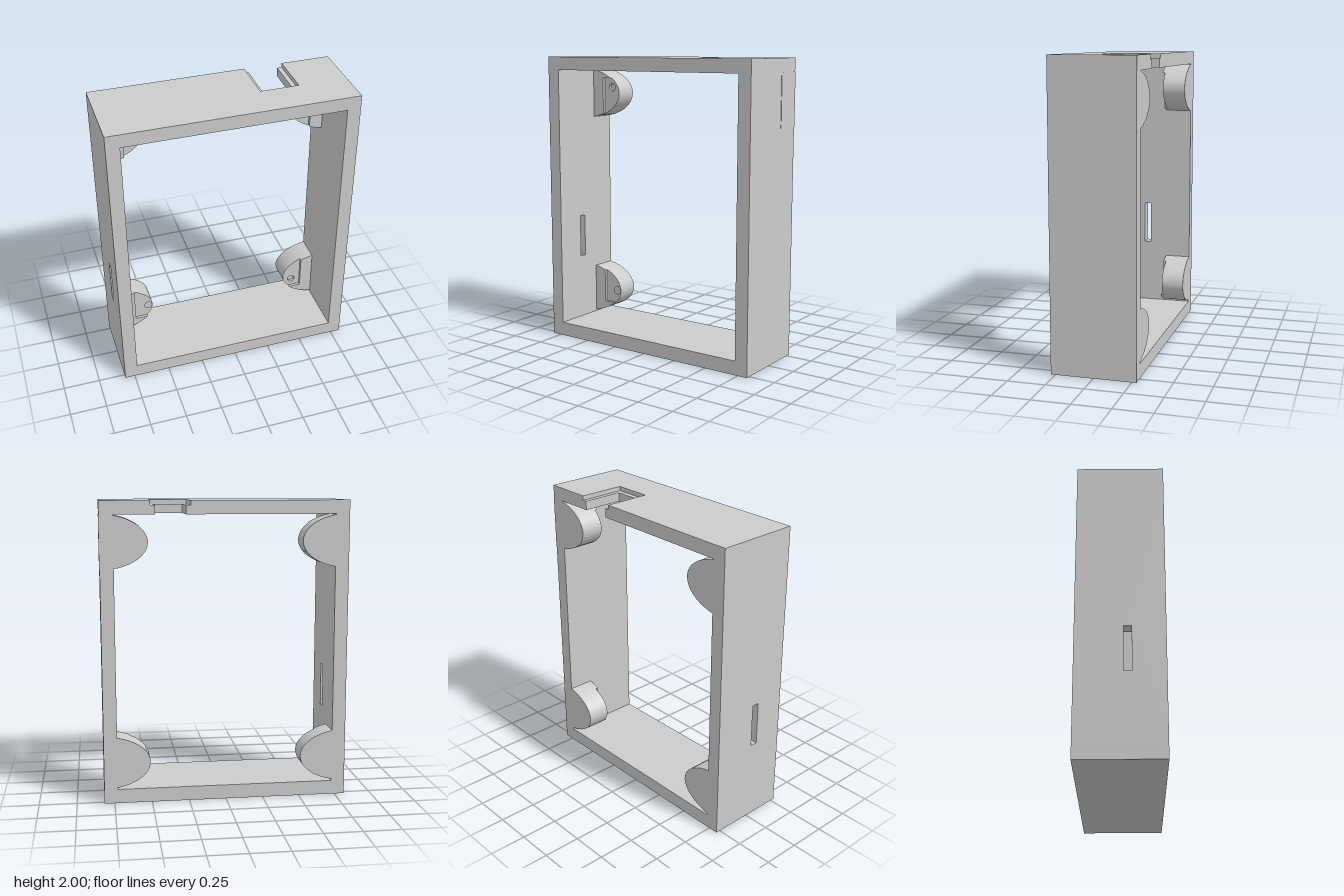
import * as THREE from 'three';
import { toCreasedNormals } from 'three/addons/utils/BufferGeometryUtils.js';

const W = 0.818, IN = 0.728, D = 0.28;      // outer / inner half width, half depth
const BOTTOM = 0.095, TOP = 1.91, H = 2;    // inner opening heights

export function createModel() {
  const model = new THREE.Group();
  const material = new THREE.MeshStandardMaterial({ color: 0xcccccc });

  const add = (name, geometry, parent = model) => {
    const mesh = new THREE.Mesh(geometry, material);
    mesh.name = name;
    parent.add(mesh);
    return mesh;
  };
  const box = (name, x0, x1, y0, y1, z0, z1) => {
    const g = new THREE.BoxGeometry(x1 - x0, y1 - y0, z1 - z0);
    g.translate((x0 + x1) / 2, (y0 + y1) / 2, (z0 + z1) / 2);
    return add(name, g);
  };
  const toShape = (pts) => new THREE.Shape(pts.map(([x, y]) => new THREE.Vector2(x, y)));
  const slab = (shape, z0, z1) => {
    const g = new THREE.ExtrudeGeometry(shape, { depth: z1 - z0, bevelEnabled: false, curveSegments: 24 });
    g.translate(0, 0, z0);
    return toCreasedNormals(g, 0.5);
  };

  // Plain walls
  box('bottomWall', -W, W, 0, BOTTOM, -D, D);
  box('leftWall', IN, W, BOTTOM, TOP, -D, D);

  // Right wall with a narrow upright slot through it
  const side = toShape([[-D, BOTTOM], [D, BOTTOM], [D, TOP], [-D, TOP]]);
  side.holes.push(new THREE.Path([[0.02, 0.55], [0.07, 0.55], [0.07, 0.85], [0.02, 0.85]]
    .map(([z, y]) => new THREE.Vector2(-z, y))));
  const rightWall = slab(side, -W, -IN);
  rightWall.rotateY(Math.PI / 2);
  add('rightWall', rightWall);

  // Top wall: two layers, the upper one with a wider notch so that a ledge remains
  const topLayer = (name, x0, x1, zEnd, y0, y1) => {
    const shape = toShape([[-W, -D], [W, -D], [W, D], [x1, D], [x1, -zEnd], [x0, -zEnd], [x0, D], [-W, D]]);
    const g = slab(shape, y0, y1);
    g.rotateX(-Math.PI / 2);
    add(name, g);
  };
  topLayer('topWallLower', 0.26, 0.46, 0, TOP, 1.97);
  topLayer('topWallUpper', 0.23, 0.49, 0.035, 1.97, H);

  // Corner mounting lugs: half ellipses centred on the outer wall face
  const A = 0.31, B = 0.178;
  const lug = (name, sx, sy, cy, cornerV, holeX, holeY) => {
    const group = new THREE.Group();
    group.name = name;
    model.add(group);
    const place = (u, v) => [sx * (W - u), cy + sy * v];
    const arc = (t0, t1, n) => Array.from({ length: n + 1 }, (_, i) => {
      const t = t0 + (t1 - t0) * i / n;
      return place(A * Math.cos(t), B * Math.sin(t));
    });
    const tWall = Math.acos((W - IN) / A);
    const cornerU = 0.178;
    const outline = arc(-tWall, tWall, 40);
    add('lugBody', slab(toShape(outline), -D, -0.14), group);

    // Seat with a shallow screw hole
    const seat = toShape(outline);
    const hole = new THREE.Path();
    hole.absarc(holeX, holeY, 0.027, 0, Math.PI * 2, true);
    seat.holes.push(hole);
    add('lugSeat', slab(seat, -0.14, -0.12), group);

    // Raised L-shaped rim around the seat
    const rim = [
      ...arc(-tWall, -Math.acos(cornerU / A), 10),
      place(cornerU, cornerV),
      ...arc(Math.asin(cornerV / B), tWall, 14),
    ];
    add('lugRim', slab(toShape(rim), -0.12, -0.10), group);
  };
  lug('topRightLug', -1, 1, 1.735, 0.11, -0.57, 1.78);
  lug('topLeftLug', 1, 1, 1.735, 0.11, 0.57, 1.78);
  lug('bottomRightLug', -1, -1, 0.277, 0.092, -0.54, 0.275);
  lug('bottomLeftLug', 1, -1, 0.277, 0.092, 0.575, 0.245);

  // Thin pad on the outside of the left wall, behind the upper lug
  box('outerPad', W - 0.01, W + 0.003, 1.556, 1.91, -D, -0.10);

  return model;
}
